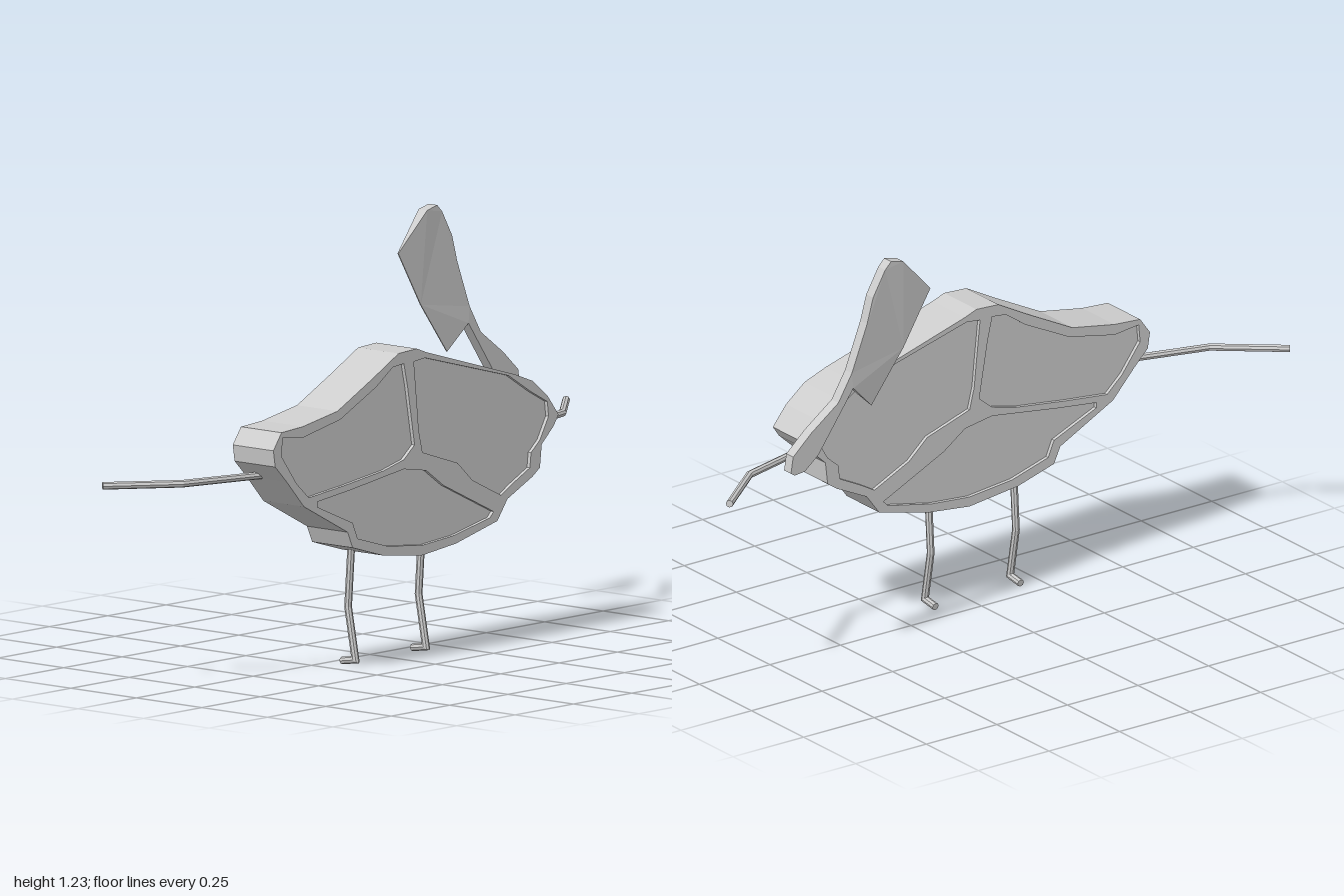
import * as THREE from 'three';

const toPoints = (flat) => {
  const pts = [];
  for (let i = 0; i < flat.length; i += 2) pts.push(new THREE.Vector2(flat[i], flat[i + 1]));
  return pts.reverse();
};

// Steak outline, clockwise from the top
const OUTLINE = toPoints([
  -0.078, 0.901, 0, 0.905, 0.04, 0.89, 0.42, 0.778, 0.495, 0.75, 0.56, 0.698, 0.607, 0.639,
  0.585, 0.607, 0.535, 0.562, 0.527, 0.495, 0.495, 0.473, 0.388, 0.422, 0.345, 0.364,
  0.168, 0.321, 0.024, 0.305, -0.147, 0.326, -0.275, 0.364, -0.297, 0.412, -0.484, 0.509,
  -0.559, 0.591, -0.607, 0.639, -0.615, 0.687, -0.58, 0.735, -0.489, 0.741, -0.34, 0.767,
  -0.19, 0.842,
]);

// Three recessed meat areas
const PANELS = {
  rightMeat: toPoints([
    -0.575, 0.719, -0.489, 0.709, -0.329, 0.741, -0.174, 0.816, -0.104, 0.864, -0.056, 0.869,
    -0.04, 0.8, -0.01, 0.628, -0.056, 0.591, -0.142, 0.57, -0.313, 0.548, -0.463, 0.532,
    -0.516, 0.58, -0.58, 0.666,
  ]),
  leftMeat: toPoints([
    -0.013, 0.869, 0.035, 0.874, 0.393, 0.778, 0.489, 0.719, 0.559, 0.682, 0.564, 0.639,
    0.527, 0.575, 0.489, 0.543, 0.484, 0.5, 0.409, 0.463, 0.361, 0.436, 0.238, 0.495,
    0.174, 0.553, 0.024, 0.602, 0.008, 0.666, 0, 0.746,
  ]),
  lowerMeat: toPoints([
    -0.425, 0.516, -0.286, 0.532, -0.056, 0.564, 0.04, 0.548, 0.115, 0.495, 0.329, 0.393,
    0.313, 0.377, 0.158, 0.345, 0.024, 0.334, -0.126, 0.35, -0.254, 0.388, -0.275, 0.436,
    -0.425, 0.5,
  ]),
};

// Cutting edge of the cleaver, then its full outline
const EDGE = [0.511, 0.794, 0.398, 0.944, 0.302, 1.104];
const CLEAVER = toPoints([
  ...EDGE, 0.409, 1.217, 0.452, 1.227, 0.473, 1.206, 0.516, 1.131, 0.537, 1.056,
  0.591, 0.917, 0.639, 0.837, 0.735, 0.767, 0.799, 0.709, 0.807, 0.66, 0.794, 0.651,
  0.757, 0.655, 0.709, 0.695, 0.586, 0.869,
]);

function slab(points, z0, z1, holes = []) {
  const shape = new THREE.Shape(points);
  shape.holes = holes.map((h) => new THREE.Path(h));
  const geo = new THREE.ExtrudeGeometry(shape, { depth: z1 - z0, bevelEnabled: false });
  return geo.translate(0, 0, z0);
}

// Round limb along a planar path with mitred joints and closed ends
function limb(path, normal, radius, sides = 8) {
  const pos = [];
  const index = [];
  const last = path.length - 1;
  path.forEach((p, i) => {
    const a = path[Math.max(i - 1, 0)];
    const b = path[Math.min(i + 1, last)];
    const dIn = (i > 0 ? p.clone().sub(a) : b.clone().sub(p)).normalize();
    const dOut = (i < last ? b.clone().sub(p) : dIn.clone()).normalize();
    const tangent = dIn.clone().add(dOut).normalize();
    const side = tangent.clone().cross(normal);
    const stretch = radius / tangent.dot(dIn);
    for (let s = 0; s < sides; s++) {
      const t = (s / sides) * Math.PI * 2;
      const v = p.clone()
        .addScaledVector(normal, Math.cos(t) * radius)
        .addScaledVector(side, Math.sin(t) * stretch);
      pos.push(v.x, v.y, v.z);
    }
  });
  for (let i = 0; i < last; i++) {
    for (let s = 0; s < sides; s++) {
      const a = i * sides + s;
      const b = i * sides + ((s + 1) % sides);
      index.push(a, b, b + sides, a, b + sides, a + sides);
    }
  }
  const end = last * sides;
  for (let s = 1; s < sides - 1; s++) {
    index.push(0, s + 1, s);
    index.push(end, end + s, end + s + 1);
  }
  const geo = new THREE.BufferGeometry();
  geo.setAttribute('position', new THREE.Float32BufferAttribute(pos, 3));
  geo.setIndex(index);
  geo.computeVertexNormals();
  return geo;
}

export function createModel() {
  const model = new THREE.Group();
  model.name = 'steakWithCleaver';
  const grey = new THREE.MeshStandardMaterial({ color: 0xcccccc, flatShading: true });
  grey.name = 'plain grey';

  const add = (name, geometry, parent = model) => {
    const mesh = new THREE.Mesh(geometry, grey);
    mesh.name = name;
    parent.add(mesh);
  };

  // Steak: raised fat rim with bone divider, and meat recessed on both faces
  const steak = new THREE.Group();
  steak.name = 'steak';
  model.add(steak);
  add('fatRim', slab(OUTLINE, 0.025, 0.18, Object.values(PANELS)), steak);
  for (const [name, points] of Object.entries(PANELS)) {
    add(name, slab(points, 0.036, 0.169), steak);
  }

  // Arms bend backward at the elbow
  for (const [name, s] of [['leftArm', 1], ['rightArm', -1]]) {
    const path = [[0.53, 0.088], [0.815, 0.01], [0.993, -0.135]]
      .map(([x, z]) => new THREE.Vector3(s * x, 0.598, z));
    add(name, limb(path, new THREE.Vector3(0, 1, 0), 0.011));
  }

  // Legs with a knee and a short foot
  for (const [name, x] of [['leftLeg', 0.125], ['rightLeg', -0.177]]) {
    const path = [[0.36, 0.088], [0.17, 0.075], [0.02, 0.103], [0.012, 0.052]]
      .map(([y, z]) => new THREE.Vector3(x, y, z));
    add(name, limb(path, new THREE.Vector3(1, 0, 0), 0.011));
  }

  // Cleaver, thinned to a sharp cutting edge
  const cleaver = slab(CLEAVER, -0.178, -0.145);
  const edge = toPoints(EDGE);
  const p = cleaver.attributes.position;
  for (let i = 0; i < p.count; i++) {
    const sharp = edge.some((e) => Math.hypot(p.getX(i) - e.x, p.getY(i) - e.y) < 1e-4);
    if (sharp) p.setZ(i, -0.1615 + (p.getZ(i) + 0.1615) * 0.1);
  }
  cleaver.computeVertexNormals();
  add('cleaver', cleaver);

  return model;
}
